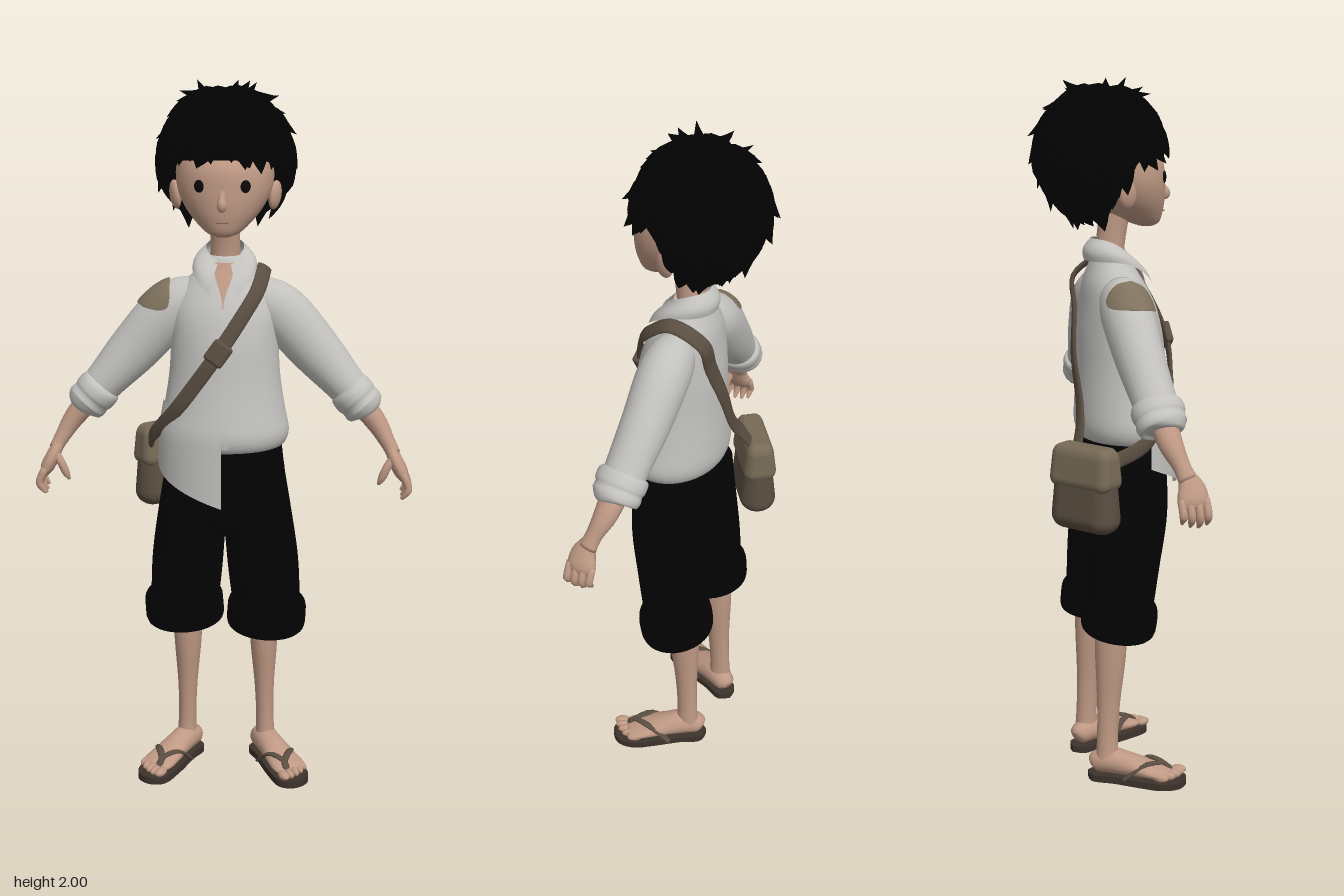
import * as THREE from 'three';
import { mergeGeometries } from 'three/addons/utils/BufferGeometryUtils.js';
import { RoundedBoxGeometry } from 'three/addons/geometries/RoundedBoxGeometry.js';

const V = (x, y, z) => new THREE.Vector3(x, y, z);
const paint = (name, color, double) => {
  const m = new THREE.MeshStandardMaterial({ color });
  m.name = name;
  if (double) m.side = THREE.DoubleSide;
  return m;
};

// Surface from a rule fn(u, v); closed surfaces wrap round in u
function grid(fn, nu, nv, closed) {
  const pos = [], idx = [], n = closed ? nu : nu + 1;
  for (let j = 0; j <= nv; j++) for (let i = 0; i < n; i++) pos.push(...fn(i / nu, j / nv, j).toArray());
  for (let j = 0; j < nv; j++) for (let i = 0; i < nu; i++) {
    const k = (i + 1) % n, a = j * n + i, b = j * n + k;
    idx.push(a, b, b + n, a, b + n, a + n);
  }
  const g = new THREE.BufferGeometry();
  g.setAttribute('position', new THREE.Float32BufferAttribute(pos, 3));
  g.setIndex(idx);
  g.computeVertexNormals();
  return g;
}

// Rows are [x, y, z, radius, radius]
const spline = pts => new THREE.CatmullRomCurve3(pts, false, 'catmullrom', 0.5);
const curves = rows => [spline(rows.map(r => V(r[0], r[1], r[2]))), spline(rows.map(r => V(r[3], r[4], 0)))];

// Stack of level ellipses with capped ends
function loft(rows, nv = 24, nu = 32) {
  const [c, r] = curves(rows);
  return grid((u, v, j) => {
    const t = THREE.MathUtils.clamp((j - 1) / (nv - 2), 0, 1), a = u * Math.PI * 2;
    const k = j === 0 || j === nv ? 0 : 1, p = c.getPoint(t), q = r.getPoint(t);
    return V(p.x + k * q.x * Math.sin(a), p.y, p.z + k * q.y * Math.cos(a));
  }, nu, nv, true);
}

// Point on a swept oval; the first radius lies along ref
function sweepPoint([c, r], ref, t, a, k, off) {
  const p = c.getPoint(t), q = r.getPoint(t), T = c.getTangent(t);
  const U = typeof ref === 'function' ? ref(p) : ref.clone();
  U.addScaledVector(T, -U.dot(T)).normalize();
  const W = V(0, 0, 0).crossVectors(T, U);
  return p.addScaledVector(U, k * (Math.max(q.x, 0) + off) * Math.cos(a))
    .addScaledVector(W, k * (Math.max(q.y, 0) + off) * Math.sin(a));
}
function sweep(rows, ref, nv = 14, nu = 14) {
  const cr = curves(rows);
  return grid((u, v, j) => sweepPoint(cr, ref, THREE.MathUtils.clamp((j - 1) / (nv - 2), 0, 1), u * Math.PI * 2,
    j === 0 || j === nv ? 0 : 1, 0), nu, nv, true);
}

// Ellipse of a loft at height y, and the depth of its front or back at x
function ringAt(rows, y) {
  const [c, r] = curves(rows);
  let lo = 0, hi = 1;
  for (let i = 0; i < 24; i++) { const m = (lo + hi) / 2; if (c.getPoint(m).y < y) lo = m; else hi = m; }
  const q = r.getPoint(lo);
  return { z: c.getPoint(lo).z, rx: q.x, rz: q.y };
}
const depth = (rows, x, y, side = 1) => {
  const e = ringAt(rows, y);
  return e.z + side * e.rz * Math.sqrt(Math.max(0, 1 - (x / e.rx) ** 2));
};
const onRing = (rows, a, y, off, yTo = y) => {
  const e = ringAt(rows, y);
  return V((e.rx + off) * Math.sin(a), yTo, e.z + (e.rz + off) * Math.cos(a));
};

const TORSO = [[0, 1.0, .055, .145, .11], [0, 1.008, .058, .168, .13], [0, 1.045, .058, .181, .141], [0, 1.11, .053, .169, .135],
  [0, 1.2, .048, .155, .125], [0, 1.3, .043, .149, .118], [0, 1.38, .036, .147, .103], [0, 1.44, .024, .122, .085],
  [0, 1.49, .017, .08, .062], [0, 1.53, .015, .052, .045]];
const HEAD = [[0, 1.595, .12, .02, .02], [0, 1.605, .112, .045, .043], [0, 1.63, .085, .075, .078], [0, 1.67, .06, .108, .108],
  [0, 1.72, .04, .13, .128], [0, 1.78, .016, .134, .144], [0, 1.84, -.01, .12, .125], [0, 1.89, -.02, .08, .08], [0, 1.91, -.02, .02, .02]];

export function createModel() {
  const model = new THREE.Group();
  const skin = paint('skin', 0xbf9984, true), shirt = paint('shirt cloth', 0xc2c1be, true), black = paint('trouser cloth', 0x030303);
  const hairMat = paint('hair', 0x020202, true), bagMat = paint('bag canvas', 0x776a56), strapMat = paint('strap leather', 0x5a4e41);
  const patchMat = paint('patch cloth', 0x7f725d, true), soleMat = paint('sandal sole', 0x3d332c), eyeMat = paint('eye dark', 0x0a0707);
  const lipMat = paint('lip line', 0x8a6353);
  const add = (name, geo, mat, parent = model) => {
    const m = new THREE.Mesh(geo, mat);
    m.name = name;
    parent.add(m);
    return m;
  };
  const ball = (name, mat, p, s, parent) => {
    const m = add(name, new THREE.SphereGeometry(1, 16, 12), mat, parent);
    m.position.set(...p);
    m.scale.set(...s);
    return m;
  };
  const Z = V(0, 0, 1), Y = V(0, 1, 0);

  // Head and face
  add('head', loft(HEAD, 30), skin);
  add('neck', sweep([[0, 1.45, .01, .05, .052], [0, 1.54, .015, .041, .042], [0, 1.65, .03, .043, .043]], Z), skin);
  add('nose', sweep([[0, 1.735, .156, .006, .01], [0, 1.7, .166, .012, .011], [0, 1.682, .173, .017, .013], [0, 1.67, .167, .008, .008]], Z), skin);
  add('mouth', new THREE.BoxGeometry(.034, .003, .006), lipMat).position.set(0, 1.637, depth(HEAD, 0, 1.637));
  for (const s of [1, -1]) {
    const x = s * .062, y = 1.733, e = ringAt(HEAD, y), z = depth(HEAD, x, y);
    ball('eye', eyeMat, [x, y, z], [.015, .017, .005]).rotation.y = Math.atan2(x / e.rx ** 2, (z - e.z) / e.rz ** 2);
    const ear = ball('ear', skin, [s * .136, 1.695, .025], [.015, .04, .029]);
    ear.rotation.set(-.2, s * -.35, s * -.15);
  }

  // Hair: a cap with rows of pointed locks fanning out from the crown
  let seed = 7;
  const rnd = () => (seed = (seed * 16807) % 2147483647) / 2147483647;
  const limit = az => 1.47 + 1.0 * THREE.MathUtils.smoothstep(Math.abs(Math.atan2(Math.sin(az), Math.cos(az))), .85, 2.3);
  const scalp = (phi, az, off = 0) => V((.169 + off) * Math.sin(phi) * Math.sin(az), 1.785 + (.182 + off) * Math.cos(phi),
    -.013 + .035 * Math.max(0, phi - 1.7) + (.165 + off) * Math.sin(phi) * Math.cos(az));
  add('hairCap', grid((u, v, j) => {
    const az = u * Math.PI * 2;
    return j === 0 ? V(0, 1.69, -.02) : scalp(limit(az) * (1 - (j - 1) / 15), az);
  }, 40, 16, true), hairMat);
  const locks = [];
  const lock = (p0, p1, az, w, lift) => {
    const swing = (rnd() - .5) * .45, rows = [[0, 0, .008, w * .5], [.35, .007, .016, w], [.7, .014, .012, w * .7], [1, lift, 0, 0]];
    locks.push(sweep(rows.map(([f, off, a, b]) => [...scalp(p0 + (p1 - p0) * f, az + swing * f, off).toArray(), a, b]),
      p => p.clone().sub(V(0, 1.785, -.013)), 8, 8));
  };
  [[.02, 6], [.3, 9], [.62, 13], [.95, 16], [1.3, 17], [1.65, 18], [1.95, 17]].forEach(([phi, n], row) => {
    for (let i = 0; i < n; i++) {
      const az = (i + .5 * (row % 2) + rnd() * .6) / n * Math.PI * 2, p0 = phi + rnd() * .15;
      if (p0 < limit(az) - .3) lock(p0, Math.min(p0 + .6, limit(az) + .12), az, .03 + rnd() * .012, .018 + rnd() * .03);
    }
  });
  for (let i = 0; i < 28; i++) {
    const az = (i + rnd() * .4) / 28 * Math.PI * 2, l = limit(az);
    lock(l - .5, l + .02 + rnd() * .24, az, .026 + rnd() * .01, .008 + rnd() * .016);
  }
  // Short upright tufts on top
  for (let i = 0; i < 9; i++) lock(.12 + rnd() * .25, .4 + rnd() * .35, i / 9 * Math.PI * 2 + rnd() * .4, .022, .036 + rnd() * .02);
  add('hairLocks', mergeGeometries(locks), hairMat);

  // Shirt body, open neck, front edge, hanging tail and collar
  add('shirtBody', loft(TORSO, 32, 40), shirt);
  add('openNeck', grid((u, v) => onRing(TORSO, (u - .5) * 2 * (.01 + .5 * v * v), 1.4 + .115 * v, .005), 8, 8), skin);
  add('placket', grid((u, v) => onRing(TORSO, .01 + u * .1, 1.02 + .39 * v, .005), 3, 14), shirt);
  add('shirtTail', grid((u, v) => {
    const bottom = .94 - .09 * u, y = bottom + (1.13 - bottom) * v;
    return onRing(TORSO, -1.4 + 1.4 * u, Math.max(y, 1.045), .006, y);
  }, 16, 10), shirt);
  add('collar', grid((u, v) => {
    const a = .3 + u * (Math.PI * 2 - .6), w = ((Math.cos(a) + 1) / 2) ** 2;
    const r = THREE.MathUtils.lerp(.072 + .05 * w, .052, v) + .012 * Math.sin(v * Math.PI);
    return V(r * Math.sin(a), THREE.MathUtils.lerp(1.505 - .08 * w ** 3, 1.565 - .05 * w, v), .014 + r * Math.cos(a));
  }, 36, 8), shirt);

  // Arms: sleeve, rolled cuff, forearm, hand
  for (const s of [1, -1]) {
    const arm = new THREE.Group();
    arm.name = s > 0 ? 'leftArm' : 'rightArm';
    model.add(arm);
    const m = rows => rows.map(([x, ...rest]) => [s * x, ...rest]);
    const sleeve = m([[.07, 1.415, .02, .055, .06], [.15, 1.376, .02, .072, .077], [.25, 1.268, .028, .067, .072],
      [.33, 1.18, .04, .061, .058], [.37, 1.135, .045, .058, .053]]);
    add('sleeve', sweep(sleeve, Z, 18, 20), shirt, arm);
    // Oval patch wrapped over the top of the shoulder
    if (s < 0) {
      const cr = curves(sleeve);
      add('shoulderPatch', grid((u, v) => sweepPoint(cr, Z, .16 + .18 * v,
        1.4 + (u - .5) * 2.4 * Math.sqrt(Math.sin(Math.PI * v) + 1e-4), 1, .005), 16, 14), patchMat, arm);
    }
    add('cuff', sweep(m([[.338, 1.168, .044, .05, .05], [.347, 1.158, .045, .071, .06], [.365, 1.138, .046, .073, .062],
      [.374, 1.128, .047, .068, .058], [.386, 1.115, .048, .07, .06], [.396, 1.104, .05, .06, .054], [.399, 1.1, .05, .04, .036]]), Z, 20, 20), shirt, arm);
    add('forearm', sweep(m([[.36, 1.145, .05, .04, .036], [.42, 1.075, .06, .034, .03], [.455, 1.02, .08, .024, .022],
      [.475, .985, .092, .027, .019]]), Z), skin, arm);
    add('palm', sweep(m([[.463, 1.005, .087, .02, .017], [.482, .965, .1, .038, .02], [.497, .935, .1, .042, .019], [.505, .915, .1, .03, .01]]), Z), skin, arm);
    for (let i = 0; i < 4; i++) {
      const z = .066 + i * .0225, l = [.012, .003, 0, .006][i];
      add('finger', sweep(m([[.498, .94, z, .011, .011], [.514, .905, z + .002, .0115, .011], [.511, .882 + l, z + .003, .0105, .01],
        [.497, .863 + l, z + .003, .004, .004]]), Z, 10, 8), skin, arm);
    }
    add('thumb', sweep(m([[.475, .98, .108, .014, .014], [.455, .955, .12, .012, .012], [.442, .925, .121, .011, .011], [.432, .905, .119, .004, .004]]), Z, 10, 8), skin, arm);
  }

  // Short trousers with rolled cuffs
  add('trouserSeat', loft([[0, .73, .03, .03, .05], [0, .765, .038, .11, .09], [0, .87, .042, .168, .117], [0, .97, .045, .164, .116], [0, 1.03, .05, .155, .11]]), black);
  for (const s of [1, -1]) {
    const leg = new THREE.Group();
    leg.name = s > 0 ? 'leftLeg' : 'rightLeg';
    model.add(leg);
    const m = rows => rows.map(([x, ...rest]) => [s * x, ...rest]);
    add('trouserLeg', sweep(m([[.08, .95, .043, .112, .084], [.093, .8, .04, .115, .096], [.108, .65, .024, .104, .102], [.12, .5, .01, .092, .098]]), Z, 18, 24), black, leg);
    const cuff = add('trouserCuff', loft([[0, -.05, 0, .05, .05], [0, -.055, 0, .09, .082], [0, -.04, 0, .112, .104], [0, 0, 0, .114, .108],
      [0, .03, 0, .112, .105], [0, .046, 0, .1, .095], [0, .048, 0, .08, .08]], 18), black, leg);
    cuff.position.set(s * .12, s > 0 ? .482 : .5, .01);
    cuff.rotation.set(.1, 0, s * -.06);
    add('shin', sweep(m([[.112, .5, -.012, .047, .043], [.112, .38, -.014, .045, .04], [.114, .24, -.02, .034, .029],
      [.116, .13, -.024, .031, .026], [.118, .05, -.025, .035, .03]]), Z, 18, 18), skin, leg);

    // Foot and sandal, turned outwards
    const foot = new THREE.Group();
    foot.name = 'foot';
    foot.position.set(s * .118, 0, -.018);
    foot.rotation.y = s * .5;
    foot.scale.set(1.05, 1, 1.05);
    leg.add(foot);
    add('footBody', sweep([[0, .045, -.052, .012, .012], [0, .05, -.04, .03, .028], [0, .058, 0, .038, .035], [0, .052, .05, .034, .038],
      [0, .042, .11, .022, .046], [0, .036, .15, .016, .048], [0, .034, .172, .009, .042]], Y, 18, 18), skin, foot);
    for (let i = 0; i < 5; i++) ball('toe', skin, [s * (-.036 + i * .0185), .033, .187 - i * i * .0022], [i ? .01 : .014, .012, .022], foot);
    const outline = new THREE.Shape();
    outline.moveTo(0, .062);
    outline.splineThru([[.032, .04], [.035, -.02], [.047, -.1], [.051, -.155], [.03, -.2], [-.015, -.213], [-.05, -.185], [-.048, -.11], [-.035, -.02], [-.032, .04], [0, .062]]
      .map(([x, y]) => new THREE.Vector2(s * x, y)));
    const sole = add('sandalSole', new THREE.ExtrudeGeometry(outline, { depth: .02, bevelEnabled: false, curveSegments: 36 }), soleMat, foot);
    sole.rotation.x = -Math.PI / 2;
    for (const k of [1, -1]) add('sandalStrap', sweep([[s * -.018, .025, .178, .006, .007], [s * -.016, .056, .152, .005, .009],
      [k * .032 - s * .004, .061, .1, .005, .011], [k * .047, .02, .05, .005, .01]], Y, 12, 8), strapMat, foot);
  }

  // Shoulder strap and buckle
  const front = (x, y) => [x, y, depth(TORSO, x, y) + .012], back = (x, y) => [x, y, depth(TORSO, x, y, -1) - .012];
  const path = [[-.212, .97, -.05], [-.205, 1.02, .06], front(-.135, 1.11), front(-.07, 1.2), front(-.01, 1.285), front(.05, 1.375), [.093, 1.445, .1],
    [.108, 1.495, .02], [.095, 1.45, -.065], back(.06, 1.36), back(.01, 1.24), back(-.05, 1.12), [-.1, 1.05, -.1], [-.14, .97, -.125]];
  add('shoulderStrap', sweep(path.map(p => [...p, .007, .022]), p => V(p.x * .5, Math.max(0, p.y - 1.4), p.z - .03), 70, 10), strapMat);
  const buckle = add('buckle', new RoundedBoxGeometry(.058, .065, .022, 3, .009), strapMat);
  buckle.position.set(-.01, 1.285, depth(TORSO, -.01, 1.285) + .015);
  buckle.rotation.set(-.1, 0, -.62);

  // Satchel behind the right hip, soft and fuller towards the bottom
  const bag = new THREE.Group();
  bag.name = 'satchel';
  bag.position.set(-.17, .9, -.1);
  bag.rotation.y = Math.PI + .64;
  model.add(bag);
  const pouch = (name, mat, w, h, d, r, y, z) => {
    const g = new RoundedBoxGeometry(w, h, d, 6, r).translate(0, y, z), p = g.attributes.position;
    for (let i = 0; i < p.count; i++) {
      const k = 1 - 2.2 * (p.getY(i) + .02), bulge = 1 - 8 * p.getX(i) ** 2;
      p.setXYZ(i, p.getX(i) * (.7 + k * .3), p.getY(i), p.getZ(i) * k * bulge);
    }
    g.computeVertexNormals();
    add(name, g, mat, bag);
  };
  pouch('bagBody', strapMat, .205, .235, .095, .046, -.005, .002);
  pouch('bagFlap', bagMat, .212, .12, .112, .03, .06, .004);
  return model;
}
